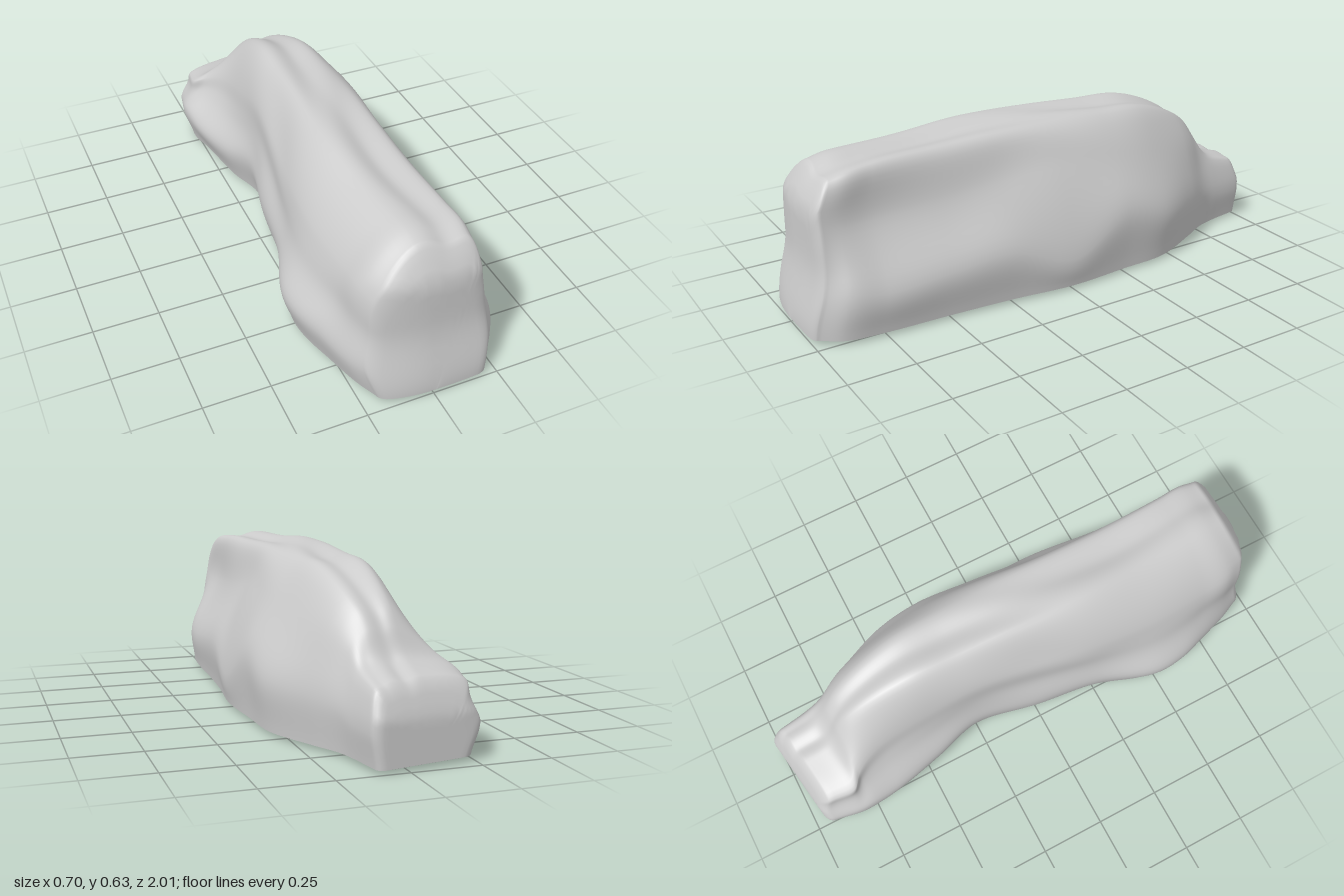
import * as THREE from 'three';

// Cross-sections from front to back:
// z, left bulge x,y, left shoulder x,y, crest left x, crest height, crest right x, right shoulder x,y, right bulge x,y
const SECTIONS = [
  [0.96, -0.23, 0.14, -0.20, 0.43, -0.05, 0.59, 0.155, 0.19, 0.42, 0.225, 0.20],
  [0.89, -0.265, 0.14, -0.22, 0.45, -0.05, 0.605, 0.16, 0.19, 0.41, 0.275, 0.20],
  [0.75, -0.305, 0.16, -0.225, 0.45, -0.06, 0.61, 0.15, 0.18, 0.41, 0.295, 0.18],
  [0.50, -0.35, 0.17, -0.235, 0.45, -0.08, 0.615, 0.14, 0.19, 0.42, 0.305, 0.20],
  [0.25, -0.275, 0.18, -0.22, 0.46, -0.09, 0.628, 0.14, 0.20, 0.45, 0.32, 0.22],
  [0.00, -0.24, 0.19, -0.18, 0.47, -0.08, 0.63, 0.14, 0.23, 0.47, 0.345, 0.14],
  [-0.25, -0.195, 0.20, -0.155, 0.47, -0.07, 0.622, 0.14, 0.24, 0.46, 0.33, 0.26],
  [-0.45, -0.235, 0.15, -0.15, 0.42, -0.06, 0.608, 0.13, 0.23, 0.42, 0.315, 0.22],
  [-0.65, -0.28, 0.15, -0.16, 0.37, -0.05, 0.53, 0.10, 0.18, 0.39, 0.23, 0.20],
  [-0.77, -0.295, 0.17, -0.20, 0.32, -0.05, 0.435, 0.07, 0.13, 0.34, 0.17, 0.18],
  [-0.84, -0.295, 0.16, -0.24, 0.29, -0.07, 0.345, 0.07, 0.12, 0.30, 0.15, 0.15],
  [-0.95, -0.275, 0.14, -0.23, 0.27, -0.07, 0.305, 0.07, 0.11, 0.27, 0.13, 0.14],
];
const ROWS = 110, COLS = 72;
const { smoothstep } = THREE.MathUtils;

// Outline points of one section, from the left foot over the crest to the right foot
function outline([z, xl, yl, sx, sy, tx, h, ux, vx, vy, xr, yr]) {
  const dip = 0.022 * (Math.exp(-(((z + 0.42) / 0.08) ** 2)) + Math.exp(-(((z + 0.8) / 0.08) ** 2)));
  return [
    [xl + 0.035, 0.03 - dip], [xl, yl],
    [sx + 0.35 * (xl - sx), (sy + yl) / 2], // hollow under the left shoulder
    [sx, sy], [tx, h],
    [(tx + ux) / 2, h - 0.008], // flat middle of the crest
    [ux, h - 0.016], [vx, vy], [xr, yr], [xr - 0.015, 0.025],
  ].map(([x, y]) => new THREE.Vector3(x, y, z));
}

// Shallow weathering that runs along the length
function weather(p, u) {
  const n = 0.003 * Math.sin(24 * u + 2.5 * Math.sin(2.3 * p.z) + 1)
    + 0.003 * Math.sin(47 * u + 4 * p.z + 1.5 * Math.sin(5 * p.z))
    + 0.003 * Math.sin(9 * p.z + 13 * u);
  const dir = new THREE.Vector2(p.x, p.y - 0.2).normalize().multiplyScalar(n * Math.sin(Math.PI * u));
  p.x += dir.x;
  p.y += dir.y;
}

// Hollow the front face, round the top edges and skew both ends
function shapeEnds(p) {
  const front = smoothstep(p.z, 0.6, 0.96), back = smoothstep(-p.z, 0.7, 0.95);
  const hollow = 0.045 * smoothstep(p.y, 0.03, 0.3), brow = 0.5 * Math.max(0, p.y - 0.48);
  p.z += front * (0.025 - hollow - brow - 0.9 * Math.min(0, p.x) ** 2 - 0.2 * Math.max(0, p.x) ** 2);
  p.z += back * (-0.025 + 0.15 * Math.max(0, 0.1 - p.x) + 0.35 * Math.max(0, p.y - 0.18));
}

// Skin a grid of points with smooth normals
function skin(rows) {
  const w = rows[0].length, index = [];
  for (let i = 0; i < rows.length - 1; i++) {
    for (let j = 0; j < w - 1; j++) {
      const a = i * w + j, b = a + w;
      index.push(a, a + 1, b, a + 1, b + 1, b);
    }
  }
  const g = new THREE.BufferGeometry().setFromPoints(rows.flat());
  g.setIndex(index);
  g.computeVertexNormals();
  return g;
}

// Shrink an end row towards its foot to close the end with a rounded rim
function capRow(row, s, dz) {
  const cx = (row[0].x + row[COLS].x) / 2;
  const bulge = dz * Math.sqrt(1 - Math.max(0, (s - 0.8) / 0.2) ** 2);
  return row.map((p) => new THREE.Vector3(cx + (p.x - cx) * s, 0.03 + (p.y - 0.03) * s, p.z + bulge));
}

export function createModel() {
  const group = new THREE.Group();
  group.name = 'rock';
  const material = new THREE.MeshStandardMaterial({ color: 0xcccccc, roughness: 0.9 });

  const outlines = SECTIONS.map(outline);
  const rails = outlines[0].map((_, k) => new THREE.CatmullRomCurve3(outlines.map((o) => o[k])));
  const rows = [];
  for (let i = 0; i <= ROWS; i++) {
    const ring = new THREE.CatmullRomCurve3(rails.map((r) => r.getPoint(i / ROWS))).getPoints(COLS);
    ring.forEach((p, j) => weather(p, j / COLS));
    rows.push(ring);
  }

  // Front and back ends
  const scales = [0.99, 0.97, 0.93, 0.87, 0.8, 0.7, 0.6, 0.5, 0.4, 0.3, 0.2, 0.1, 0];
  const all = [
    ...scales.map((s) => capRow(rows[0], s, 0.02)).reverse(),
    ...rows,
    ...scales.map((s) => capRow(rows[ROWS], s, -0.03)),
  ];
  all.flat().forEach(shapeEnds);
  const body = new THREE.Mesh(skin(all), material);
  body.name = 'rockBody';

  // Flat underside between the two feet of every section
  const under = all.map((r) => Array.from({ length: 7 }, (_, k) => r[COLS].clone().lerp(r[0], k / 6)));
  const base = new THREE.Mesh(skin(under), material);
  base.name = 'underside';

  group.add(body, base);
  return group;
}
